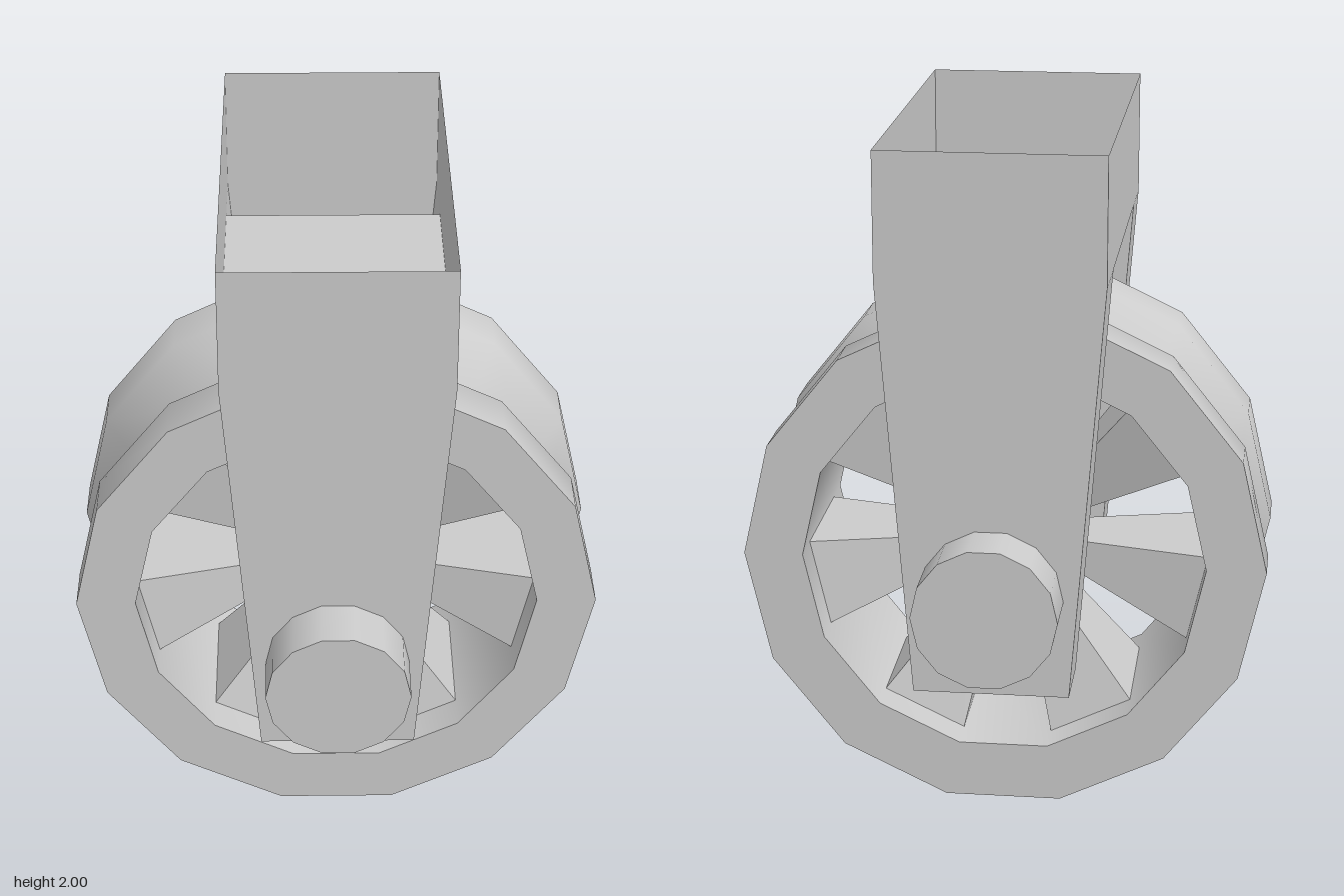
import * as THREE from 'three';
import { toCreasedNormals } from 'three/addons/utils/BufferGeometryUtils.js';

const SIDES = 14;          // facets around wheel and axle
const AXLE_Y = 0.74;
const material = new THREE.MeshStandardMaterial({ color: 0xcccccc });
const shellMaterial = new THREE.MeshStandardMaterial({ color: 0xcccccc, side: THREE.DoubleSide });

function part(name, geometry, mat = material) {
  const mesh = new THREE.Mesh(geometry, mat);
  mesh.name = name;
  return mesh;
}

// Turn a y-axis solid so its axis lies along z with a corner on the x axis
const alongZ = (geometry) => geometry.rotateY(Math.PI / 2).rotateX(Math.PI / 2);

// Rim with a V groove, turned from one closed profile of [radius, height]
function rimGeometry() {
  const profile = [
    [0.585, -0.31], [0.757, -0.31], [0.757, -0.16], [0.625, 0],
    [0.757, 0.16], [0.757, 0.31], [0.585, 0.31], [0.585, -0.31],
  ].map(([r, y]) => new THREE.Vector2(r, y));
  const lathe = new THREE.LatheGeometry(profile, SIDES);
  return toCreasedNormals(alongZ(lathe), THREE.MathUtils.degToRad(82));
}

// Wedge spoke filling one facet, thinner toward the axle
function spokeGeometry(startAngle) {
  const geometry = new THREE.BoxGeometry(1, 1, 1);
  const pos = geometry.attributes.position;
  for (let i = 0; i < pos.count; i++) {
    const outer = pos.getX(i) > 0;
    const radius = outer ? 0.588 : 0.19;
    const angle = startAngle + (pos.getY(i) > 0 ? (2 * Math.PI) / SIDES : 0);
    const z = Math.sign(pos.getZ(i)) * (outer ? 0.2 : 0.1);
    pos.setXYZ(i, Math.cos(angle) * radius, Math.sin(angle) * radius, z);
  }
  geometry.computeVertexNormals();
  return geometry;
}

// Hollow fork, open on top: a U-shaped strip of walls plus two side plates
function forkGeometry() {
  const top = 2, bridge = 1.64, foot = 0.455, out = 0.597, inn = 0.388;
  const halfWidth = (y) => (y >= bridge ? 0.315 : 0.315 - (0.095 * (bridge - y)) / (bridge - foot));
  const positions = [];
  const quad = (a, b, c, d) => positions.push(...a, ...b, ...c, ...a, ...c, ...d);
  const at = (side, [z, y]) => [side * halfWidth(y), y, z];

  // walls, followed from the front rim round to the back rim
  const path = [
    [out, top], [out, bridge], [out, foot], [inn, foot], [inn, bridge],
    [-inn, bridge], [-inn, foot], [-out, foot], [-out, bridge], [-out, top],
  ];
  for (let i = 0; i < path.length - 1; i++) {
    const p = path[i], q = path[i + 1];
    quad(at(-1, p), at(-1, q), at(1, q), at(1, p));
  }

  // side plates: bridge and two legs, each [z front, z back, y low, y high]
  const plates = [[out, -out, bridge, top], [out, inn, foot, bridge], [-inn, -out, foot, bridge]];
  for (const [z0, z1, y0, y1] of plates) {
    const corners = [[z0, y0], [z1, y0], [z1, y1], [z0, y1]];
    quad(...corners.map((c) => at(1, c)));
    quad(...corners.reverse().map((c) => at(-1, c)));
  }
  const geometry = new THREE.BufferGeometry();
  geometry.setAttribute('position', new THREE.Float32BufferAttribute(positions, 3));
  geometry.computeVertexNormals();
  return geometry;
}

export function createModel() {
  const model = new THREE.Group();
  model.name = 'casterWheel';
  model.add(part('fork', forkGeometry(), shellMaterial));

  const wheel = new THREE.Group();
  wheel.name = 'wheel';
  wheel.position.y = AXLE_Y;
  wheel.add(part('rim', rimGeometry()));
  // spokes fill every second facet
  for (let i = 1; i < SIDES; i += 2) {
    wheel.add(part('spoke', spokeGeometry((i * 2 * Math.PI) / SIDES)));
  }
  model.add(wheel);

  const axle = part('axle', alongZ(new THREE.CylinderGeometry(0.203, 0.203, 1.514, SIDES)));
  axle.position.y = AXLE_Y;
  model.add(axle);
  return model;
}
